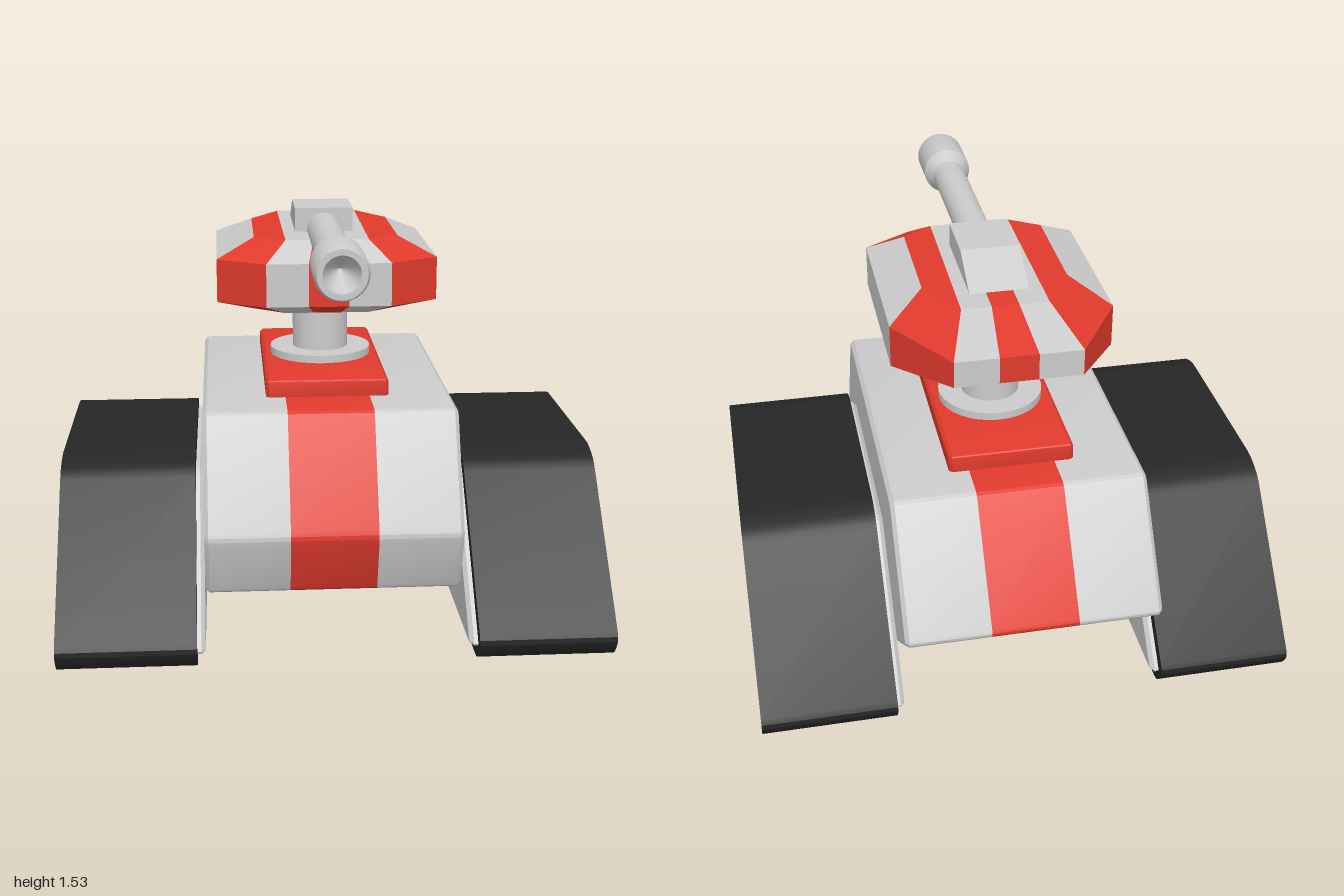
import * as THREE from 'three';
import { toCreasedNormals } from 'three/addons/utils/BufferGeometryUtils.js';

const grey = new THREE.MeshStandardMaterial({ color: 0xcccccc });
const red = new THREE.MeshStandardMaterial({ color: 0xe03a2c });
const black = new THREE.MeshStandardMaterial({ color: 0x262626 });

function part(parent, name, geometry, material) {
  const mesh = new THREE.Mesh(geometry, material);
  mesh.name = name;
  parent.add(mesh);
}

// Closed outline with every corner rounded by r
function outline(points, r, Type = THREE.Shape) {
  const path = new Type();
  const v = points.map(p => new THREE.Vector2(...p));
  v.forEach((p, i) => {
    const toward = q => q.clone().sub(p).setLength(r).add(p);
    const a = toward(v[(i + v.length - 1) % v.length]);
    const b = toward(v[(i + 1) % v.length]);
    if (i === 0) path.moveTo(a.x, a.y);
    else path.lineTo(a.x, a.y);
    path.quadraticCurveTo(p.x, p.y, b.x, b.y);
  });
  path.closePath();
  return path;
}

// Side profile (z, y) extruded across x from x0 to x1
function slab(shape, x0, x1, bevel = 0) {
  const g = new THREE.ExtrudeGeometry(shape, {
    depth: x1 - x0 - 2 * bevel, curveSegments: 3, bevelEnabled: bevel > 0,
    bevelSize: bevel, bevelThickness: bevel, bevelOffset: -bevel, bevelSegments: 1,
  });
  g.rotateY(-Math.PI / 2).translate(x1 - bevel, 0, 0);
  return toCreasedNormals(g, 0.2);
}

function disc(parent, name, radius, y0, y1, z) {
  const g = new THREE.CylinderGeometry(radius, radius, y1 - y0, 40);
  g.translate(0, (y0 + y1) / 2, z);
  part(parent, name, g, grey);
}

// Quads of the +x half are mirrored onto the -x half
function quadGeometry(quads) {
  const pos = [];
  const add = ([a, b, c, d]) => pos.push(...a, ...b, ...c, ...a, ...c, ...d);
  const flip = ([x, y, z]) => [-x, y, z];
  for (const q of quads) {
    add(q);
    add(q.map(flip).reverse());
  }
  const g = new THREE.BufferGeometry();
  g.setAttribute('position', new THREE.Float32BufferAttribute(pos, 3));
  g.computeVertexNormals();
  return g;
}

function turretShell(parent) {
  // Half rings from front centre to back centre, bottom to top
  const rings = [
    [[0, 1.155, .29], [.05, 1.155, .29], [.155, 1.155, .29], [.26, 1.155, .21],
      [.26, 1.155, -.17], [.16, 1.155, -.26], [.05, 1.155, -.26], [0, 1.155, -.26]],
    [[0, 1.2, .395], [.075, 1.2, .395], [.23, 1.2, .395], [.41, 1.2, .285],
      [.41, 1.2, -.36], [.23, 1.26, -.65], [.07, 1.26, -.65], [0, 1.26, -.65]],
  ];
  rings.push(rings[1].map(([x, , z]) => [x, 1.36, z]));
  rings.push([[0, 1.43, .285], [.05, 1.43, .285], [.155, 1.43, .285], [.27, 1.43, .21],
    [.27, 1.43, -.22], [.16, 1.43, -.41], [.05, 1.43, -.41], [0, 1.43, -.41]]);
  const redQuads = [], greyQuads = [];
  for (let r = 0; r < 3; r++) {
    for (let i = 0; i < 7; i++) {
      const [a, b] = [rings[r], rings[r + 1]];
      (i % 2 ? greyQuads : redQuads).push([a[i], a[i + 1], b[i + 1], b[i]]);
    }
  }
  // Striped roof and floor
  for (let k = 0; k < 3; k++) {
    const list = k === 1 ? greyQuads : redQuads;
    const [t, b] = [rings[3], rings[0]];
    list.push([t[k], t[k + 1], t[6 - k], t[7 - k]]);
    list.push([b[7 - k], b[6 - k], b[k + 1], b[k]]);
  }
  part(parent, 'turretPanels', quadGeometry(greyQuads), grey);
  part(parent, 'turretStripes', quadGeometry(redQuads), red);
}

export function createModel() {
  const model = new THREE.Group();
  model.name = 'tank';

  const hull = outline([[.65, .185], [.725, .42], [.505, .835], [-.69, .835], [-.993, .42], [-.69, .185]], .025);
  const belt = outline([[.87, 0], [.93, .085], [.45, .607], [.355, .64], [-.375, .64],
    [-.47, .607], [-.95, .085], [-.89, 0]], .035);
  belt.holes.push(outline([[.885, .06], [.407, .584], [-.427, .584], [-.905, .06]], .035, THREE.Path));
  const panel = outline([[.897, .055], [.41, .59], [-.43, .59], [-.917, .055]], .035);

  // Hull sides, and tracks as hollow belts around recessed side panels
  for (const [side, s] of [['left', 1], ['right', -1]]) {
    const span = (a, b) => (s > 0 ? [a, b] : [-b, -a]);
    part(model, side + 'Hull', slab(hull, ...span(.145, .472), .015), grey);
    part(model, side + 'Track', slab(belt, ...span(.502, 1)), black);
    part(model, side + 'TrackPanel', slab(panel, ...span(.472, .905), .015), grey);
  }
  part(model, 'hullStripe', slab(hull, -.16, .16), red);

  // Turret mount
  const plate = outline([[.315, .82], [.315, .9], [-.545, .9], [-.545, .82]], .012);
  part(model, 'mountPlate', slab(plate, -.233, .233, .012), red);
  disc(model, 'mountRing', .2, .89, .93, -.13);
  disc(model, 'turretNeck', .11, .92, 1.14, -.13);
  disc(model, 'turretCollar', .16, 1.13, 1.16, -.13);

  // Turret, gun housing and gun
  const turret = new THREE.Group();
  turret.name = 'turret';
  model.add(turret);
  turretShell(turret);
  const housing = new THREE.Shape([[.105, 1.4], [.105, 1.52], [-.125, 1.52], [-.305, 1.428], [-.305, 1.4]]
    .map(p => new THREE.Vector2(...p)));
  part(turret, 'gunHousing', slab(housing, -.11, .11), grey);
  const gun = [[0, .05], [.064, .05], [.064, .735], [.094, .785], [.094, .965], [.085, .988],
    [.064, .988], [.058, .97], [0, .87]];
  const barrel = new THREE.LatheGeometry(gun.map(p => new THREE.Vector2(...p)), 32);
  barrel.rotateX(Math.PI / 2).translate(0, 1.438, 0);
  part(turret, 'gunBarrel', toCreasedNormals(barrel, 0.45), grey);

  return model;
}
